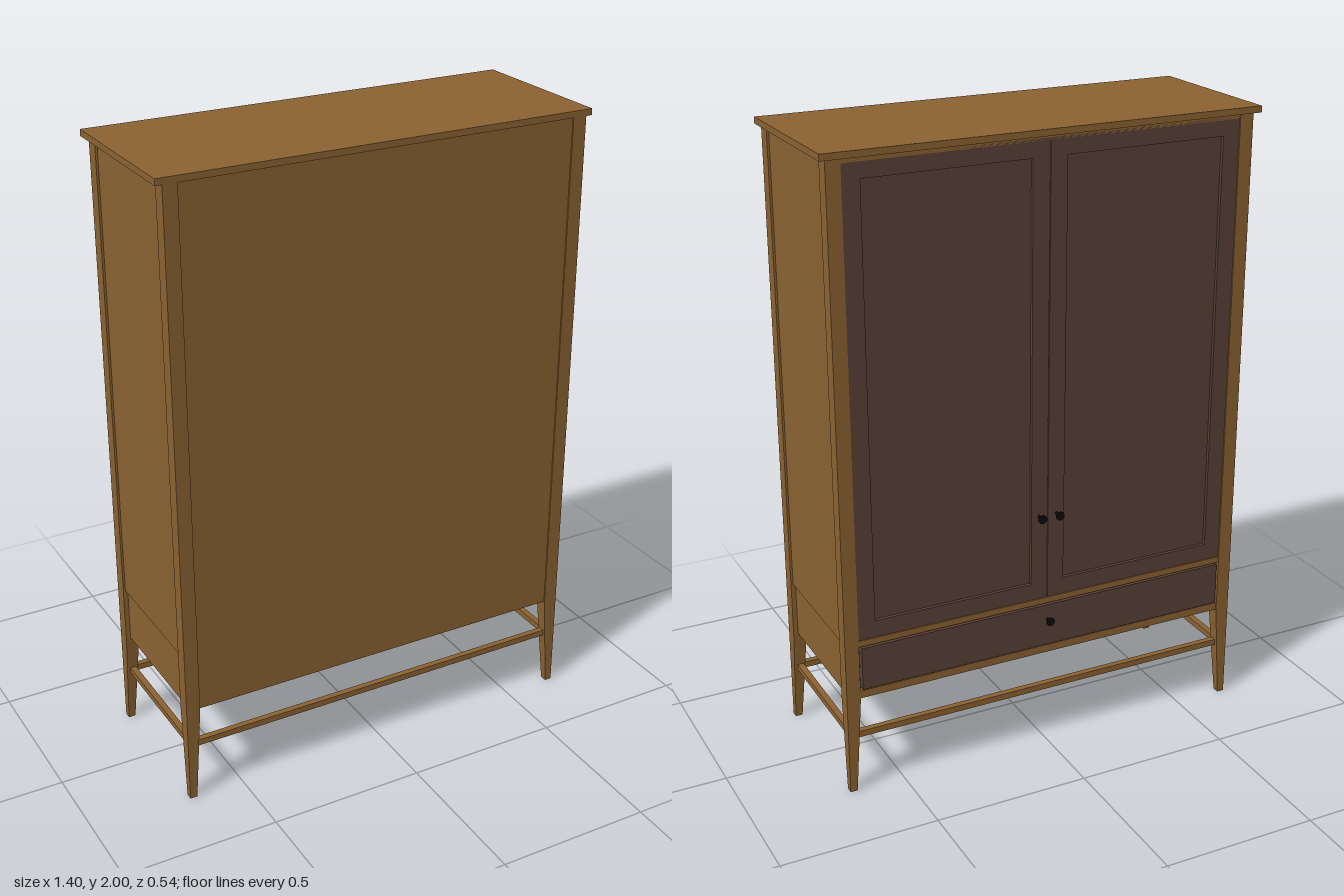
import * as THREE from 'three';

const wood = new THREE.MeshStandardMaterial({ color: 0x8b6332 });
const dark = new THREE.MeshStandardMaterial({ color: 0x5a4038 });
const black = new THREE.MeshStandardMaterial({ color: 0x0c0b0b });

// Outer limits of the posts; the doors face -z
const X = 0.68, ZB = 0.27, ZF = -0.245, POST = 0.045, TIP = 0.023, LEG = 0.32, TOP = 1.98;
const innerX = X - POST;

export function createModel() {
  const group = new THREE.Group();
  const add = (name, geometry, material) => {
    const mesh = new THREE.Mesh(geometry, material);
    mesh.name = name;
    group.add(mesh);
    return mesh;
  };
  // Box given by its minimum and maximum on each axis
  const box = (name, x0, x1, y0, y1, z0, z1, material = wood) => {
    const mesh = add(name, new THREE.BoxGeometry(x1 - x0, y1 - y0, z1 - z0), material);
    mesh.position.set((x0 + x1) / 2, (y0 + y1) / 2, (z0 + z1) / 2);
    return mesh;
  };

  // Corner posts: straight above, tapering on the inner faces into legs
  const post = (sx, zOuter, inward) => {
    const g = new THREE.BoxGeometry(1, 1, 1, 1, 2, 1);
    const p = g.attributes.position;
    for (let i = 0; i < p.count; i++) {
      const level = Math.round((p.getY(i) + 0.5) * 2);
      const w = level === 0 ? TIP : POST;
      const xIn = p.getX(i) * sx < 0;
      const zIn = p.getZ(i) * inward > 0;
      p.setXYZ(i, sx * (X - (xIn ? w : 0)), [0, LEG, TOP][level], zOuter + (zIn ? inward * w : 0));
    }
    const flat = g.toNonIndexed();
    flat.computeVertexNormals();
    add('cornerPost', flat, wood);
  };

  for (const s of [1, -1]) {
    post(s, ZB, -1);
    post(s, ZF, 1);
    // Side panels, the lower one set deeper
    const side = (name, y0, y1, recess) => {
      const a = s * (X - recess), b = s * (X - recess - 0.02);
      box(name, Math.min(a, b), Math.max(a, b), y0, y1, ZF + POST, ZB - POST);
    };
    side('upperSidePanel', 0.5, TOP, 0.007);
    side('lowerSidePanel', LEG, 0.5, 0.015);
    // Side stretchers
    const c = s * 0.659;
    box('sideStretcher', c - 0.01, c + 0.01, 0.18, 0.2, ZF + 0.03, ZB - 0.03);
  }

  // Long stretchers
  for (const z of [ZB - 0.021, ZF + 0.021])
    box('longStretcher', -0.65, 0.65, 0.18, 0.2, z - 0.01, z + 0.01);

  // Carcass
  box('topBoard', -0.7, 0.7, TOP, 2, -0.258, ZB);
  box('backPanel', -innerX, innerX, LEG, TOP, ZB - 0.025, ZB - 0.004);
  box('bottomPanel', -innerX, innerX, 0.335, 0.35, ZF + 0.02, ZB - 0.02, dark);
  box('bottomRail', -innerX, innerX, LEG, 0.345, ZF + 0.003, ZF + 0.025);
  box('middleRail', -innerX, innerX, 0.495, 0.515, ZF + 0.003, ZF + 0.025);
  box('topRail', -innerX, innerX, 1.965, TOP, ZF + 0.003, ZF + 0.025);

  // Drawer front
  box('drawerFront', -0.627, 0.627, 0.35, 0.491, ZF - 0.002, ZF + 0.02, dark);
  box('drawerBacking', -innerX, innerX, 0.345, 0.495, ZF + 0.02, ZF + 0.03, dark);

  // Framed doors with sunken panels
  const rect = (path, x0, y0, x1, y1) =>
    path.moveTo(x0, y0).lineTo(x1, y0).lineTo(x1, y1).lineTo(x0, y1).closePath();
  for (const s of [1, -1]) {
    const w = innerX - 0.002, y0 = 0.517, y1 = 1.972, f = 0.055;
    const frame = rect(new THREE.Shape(), -w / 2, y0, w / 2, y1);
    frame.holes.push(rect(new THREE.Path(), -w / 2 + f, y0 + f, w / 2 - f, y1 - f));
    const door = add('doorFrame', new THREE.ExtrudeGeometry(frame, { depth: 0.022, bevelEnabled: false }), dark);
    door.position.set(s * innerX / 2, 0, ZF + 0.003);
    const cx = s * innerX / 2;
    box('doorPanel', cx - w / 2 + f, cx + w / 2 - f, y0 + f, y1 - f, ZF + 0.014, ZF + 0.022, dark);
  }

  // Knobs: thin stem and flat disc
  for (const [x, y] of [[0.03, 0.8], [-0.03, 0.8], [0, 0.44]]) {
    const stem = add('knobStem', new THREE.CylinderGeometry(0.005, 0.005, 0.024, 12), black);
    stem.rotation.x = Math.PI / 2;
    stem.position.set(x, y, -0.254);
    const disc = add('knobDisc', new THREE.CylinderGeometry(0.014, 0.014, 0.005, 24), black);
    disc.rotation.x = Math.PI / 2;
    disc.position.set(x, y, -0.2675);
  }
  return group;
}
